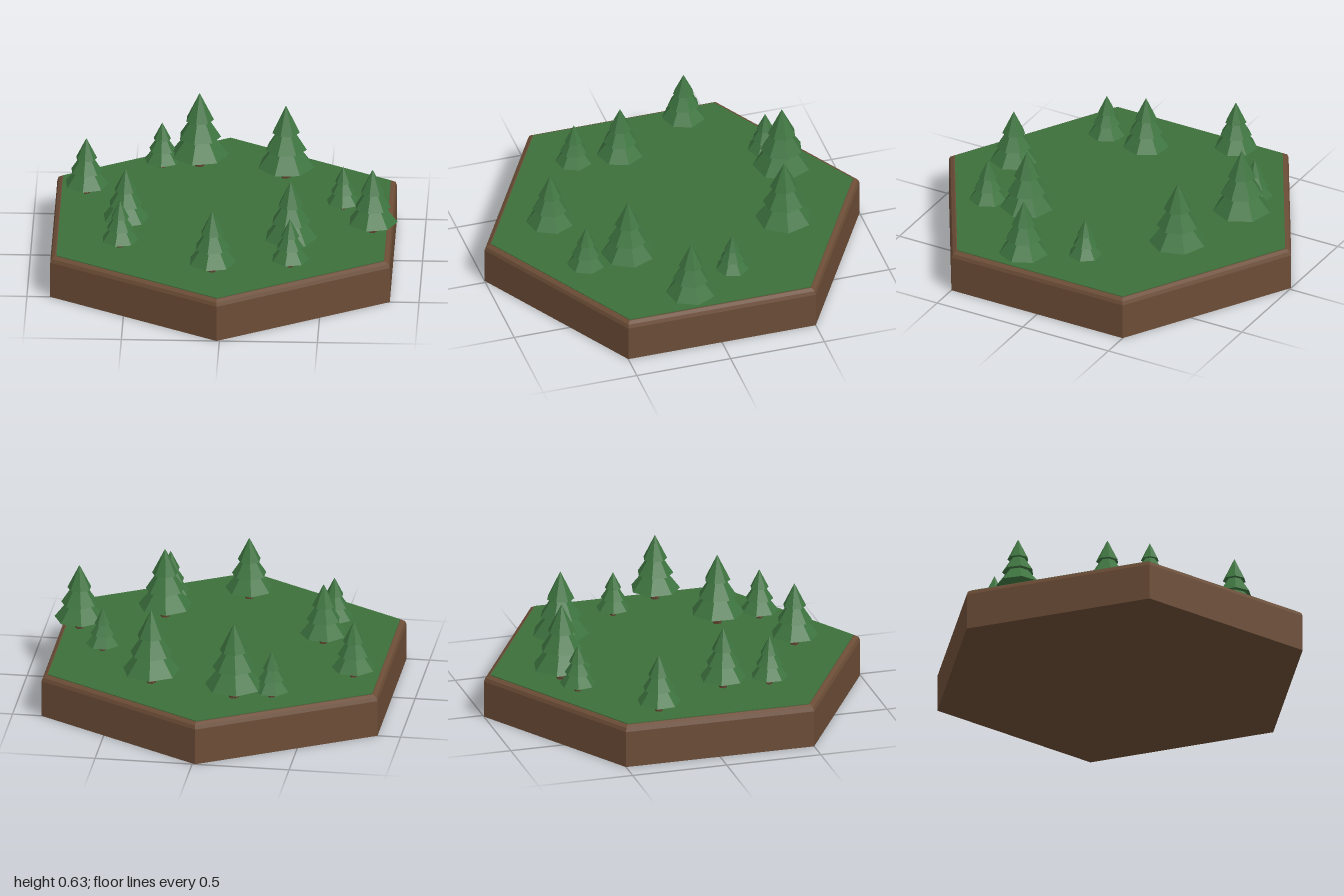
import * as THREE from 'three';

const material = (name, color) => {
  const m = new THREE.MeshStandardMaterial({ color, flatShading: true });
  m.name = name;
  return m;
};

export function createModel() {
  const soil = material('soil brown', 0x6b4c36);
  const grass = material('grass green', 0x3d6f3b);
  const bark = material('bark brown', 0x5e432f);
  const needles = material('needle green', 0x3e7440);

  const model = new THREE.Group();
  model.name = 'forestTile';
  const add = (parent, name, geometry, mat, x, y, z) => {
    const mesh = new THREE.Mesh(geometry, mat);
    mesh.name = name;
    mesh.position.set(x, y, z);
    parent.add(mesh);
    return mesh;
  };

  // Hexagonal slab with a rounded upper rim
  const tileX = -0.015;
  const groundY = 0.226;
  const profile = [[0, 0], [1, 0], [1, 0.192], [0.992, 0.211], [0.972, 0.222], [0.95, 0.222], [0, 0.222]]
    .map(([r, y]) => new THREE.Vector2(r, y));
  add(model, 'soilSlab', new THREE.LatheGeometry(profile, 6), soil, tileX, 0, 0);
  add(model, 'grassTop', new THREE.CylinderGeometry(0.965, 0.965, 0.008, 6), grass, tileX, groundY - 0.004, 0);

  // Unit-height conifer: [base height, base radius, cone height]
  const tiers = [[0.16, 0.37, 0.48], [0.4, 0.27, 0.42], [0.635, 0.18, 0.365]];
  const cones = tiers.map(([, r, h]) => new THREE.ConeGeometry(r, h, 7));
  const trunk = new THREE.CylinderGeometry(0.055, 0.065, 0.3, 6);

  // x, z, height of each tree, turn in radians
  const trees = [
    [-0.16, -0.63, 0.405, 0], [-0.35, -0.6, 0.25, 0.2], [0.285, -0.505, 0.4, -0.14],
    [-0.725, -0.28, 0.305, 0.1], [0.59, -0.135, 0.235, 0.2], [-0.51, 0.125, 0.325, 0.1],
    [-0.53, 0.365, 0.26, 0], [0.75, 0.135, 0.347, 0], [0.34, 0.345, 0.373, -0.05],
    [0.345, 0.57, 0.265, 0], [-0.05, 0.64, 0.333, 0]
  ];
  for (const [x, z, size, turn] of trees) {
    const tree = new THREE.Group();
    tree.name = 'pineTree';
    add(tree, 'trunk', trunk, bark, 0, 0.14, 0);
    tiers.forEach(([y, , h], i) => add(tree, 'foliageTier', cones[i], needles, 0, y + h / 2, 0));
    tree.position.set(x, groundY, z);
    tree.rotation.y = Math.PI / 2 + turn;
    tree.scale.setScalar(size);
    model.add(tree);
  }
  return model;
}
